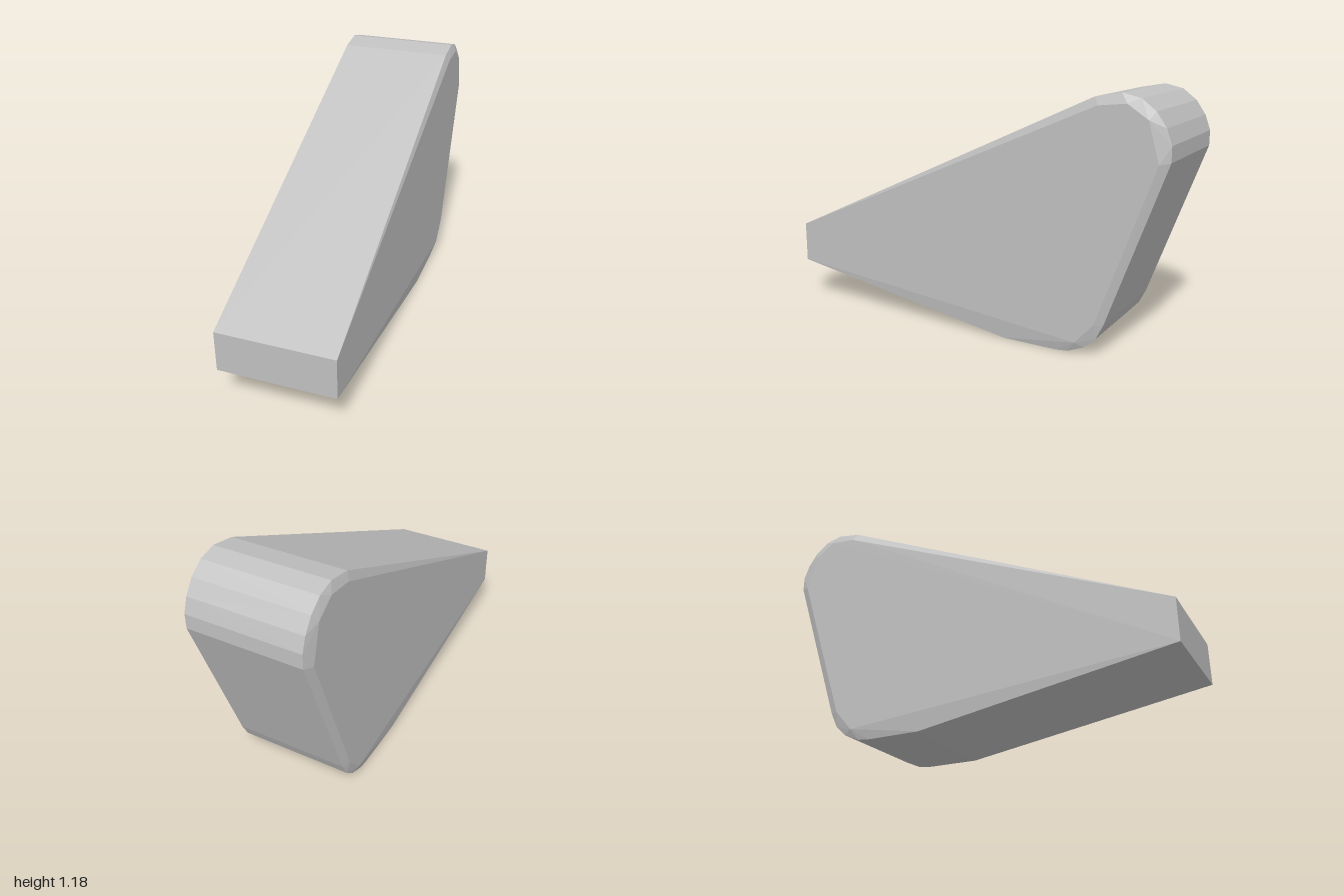
import * as THREE from 'three';
import { ConvexGeometry } from 'three/addons/geometries/ConvexGeometry.js';

// Side profiles as [z, y]: the full outline, and the inset outline of the side faces
const outline = [
  [1, 0.4], [-0.66, 1.163], [-0.78, 1.185], [-0.865, 1.165], [-0.93, 1.115], [-0.975, 1.05],
  [-1, 0.98], [-1, 0.91], [-0.73, 0.16], [-0.695, 0.09], [-0.64, 0.04], [-0.56, 0.006],
  [-0.5, 0], [-0.23, 0], [1, 0.2],
];
const sideFace = [
  [-0.68, 1.128], [-0.81, 1.142], [-0.905, 1.08], [-0.955, 0.9], [-0.69, 0.16], [-0.6, 0.06],
];

export function createModel() {
  const group = new THREE.Group();
  group.name = 'wedge';
  const grey = new THREE.MeshStandardMaterial({ color: 0xc0c0c0 });
  grey.name = 'grey';

  // Convex body: straight outline, with sides that swell slightly towards the back
  const points = [];
  for (const side of [-1, 1]) {
    for (const [z, y] of outline) points.push(new THREE.Vector3(side * 0.277, y, z));
    for (const [z, y] of sideFace) {
      points.push(new THREE.Vector3(side * (0.277 + 0.0098 * (1 - z)), y, z));
    }
  }
  const body = new THREE.Mesh(new ConvexGeometry(points), grey);
  body.name = 'wedgeBody';
  group.add(body);
  return group;
}
